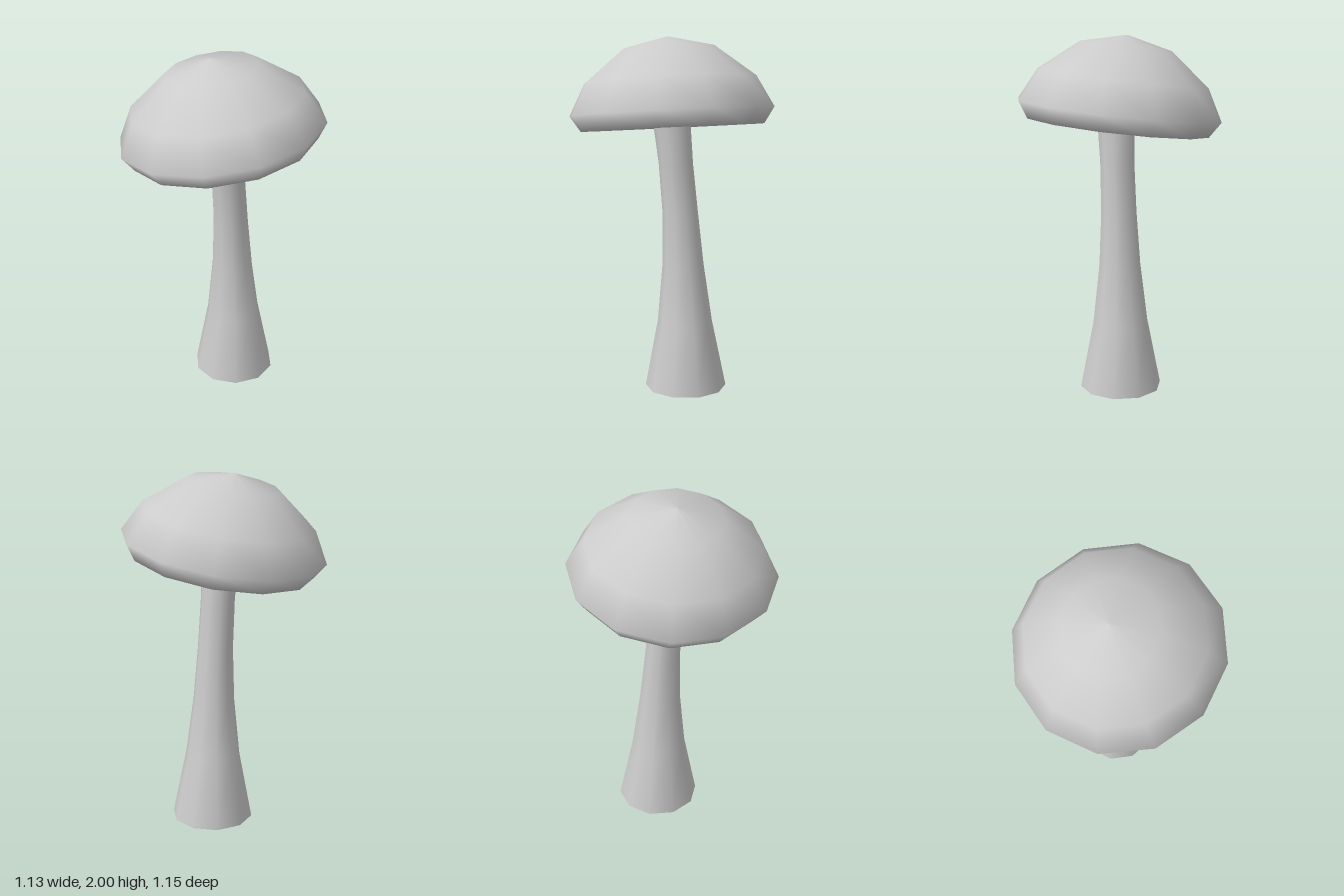
import * as THREE from 'three';
import { mergeVertices } from 'three/addons/utils/BufferGeometryUtils.js';

const material = new THREE.MeshStandardMaterial({ color: 0xcccccc, side: THREE.DoubleSide });

// Stem: open ten-sided tube that tapers and bends along its rings
function createStem() {
  // y, centre x, centre z, radius
  const rings = [
    [0, 0.055, -0.073, 0.231],
    [0.39, 0.052, -0.068, 0.155],
    [0.72, 0.047, -0.058, 0.117],
    [1.02, 0.04, -0.043, 0.1],
    [1.3, 0.03, -0.02, 0.096],
    [1.56, 0.018, 0.003, 0.105],
  ];
  const spans = rings.length - 1;
  let geometry = new THREE.CylinderGeometry(1, 1, spans, 10, spans, true);
  geometry.rotateY(Math.PI / 2);
  geometry.deleteAttribute('uv');
  geometry.deleteAttribute('normal');
  const pos = geometry.attributes.position;
  for (let i = 0; i < pos.count; i++) {
    const [y, cx, cz, r] = rings[Math.round(pos.getY(i) + spans / 2)];
    pos.setXYZ(i, cx + r * pos.getX(i), y, cz + r * pos.getZ(i));
  }
  geometry = mergeVertices(geometry);
  geometry.computeVertexNormals();
  const stem = new THREE.Mesh(geometry, material);
  stem.name = 'stem';
  return stem;
}

// Cap: twelve-sided dome with a rolled rim and flat underside, leaning to its right
function createCap() {
  const profile = [
    [0, -0.085], [0.516, -0.09], [0.576, 0], [0.483, 0.176], [0.258, 0.354], [0, 0.415],
  ].map(([r, h]) => new THREE.Vector2(r, h));
  const geometry = new THREE.LatheGeometry(profile, 12, THREE.MathUtils.degToRad(5));
  const cap = new THREE.Mesh(geometry, material);
  cap.name = 'cap';
  cap.position.set(0, 1.59, 0);
  cap.rotation.z = THREE.MathUtils.degToRad(9);
  return cap;
}

export function createModel() {
  const model = new THREE.Group();
  model.name = 'mushroom';
  model.add(createStem(), createCap());
  return model;
}
